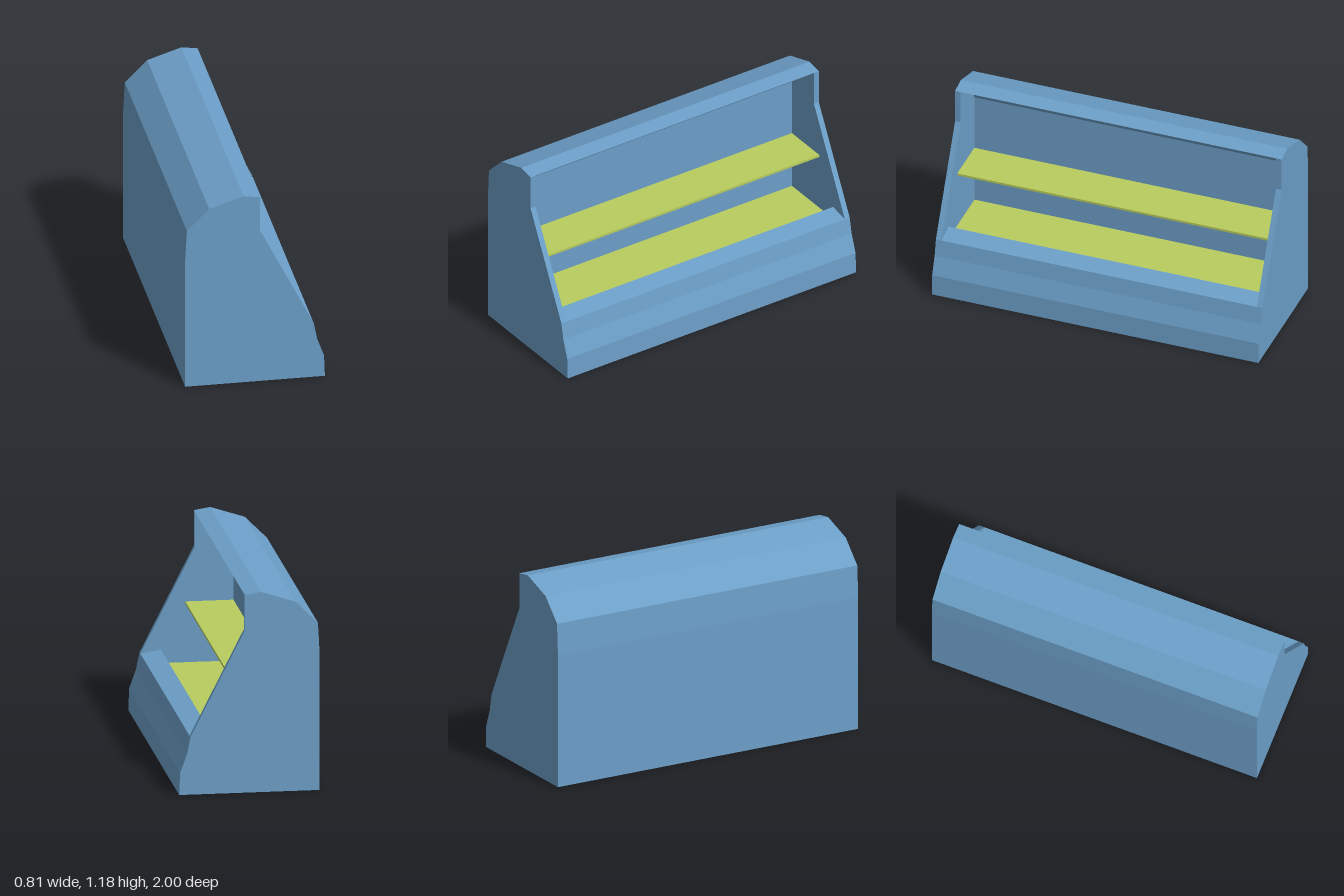
import * as THREE from 'three';

const blue = new THREE.MeshStandardMaterial({ color: 0x6c9fc8, flatShading: true });
const green = new THREE.MeshStandardMaterial({ color: 0xb9cd5e, flatShading: true });
const grey = new THREE.MeshStandardMaterial({ color: 0xcccccc, flatShading: true });

// Extrude an x-y profile along z, from z0 to z1
function prism(name, points, z0, z1, material) {
  const shape = new THREE.Shape(points.map(([x, y]) => new THREE.Vector2(x, y)));
  const geometry = new THREE.ExtrudeGeometry(shape, { depth: z1 - z0, bevelEnabled: false });
  geometry.translate(0, 0, z0);
  const mesh = new THREE.Mesh(geometry, material);
  mesh.name = name;
  return mesh;
}

// Flat board resting between the end panels
function board(name, x0, x1, top, thickness, halfLength) {
  const mesh = new THREE.Mesh(new THREE.BoxGeometry(x1 - x0, thickness, halfLength * 2), green);
  mesh.position.set((x0 + x1) / 2, top - thickness / 2, 0);
  mesh.name = name;
  return mesh;
}

export function createModel() {
  const group = new THREE.Group();
  group.name = 'displayCase';
  const inner = 0.966;

  // Outline shared by the cabinet and its end panels
  const base = [[-0.41, 0], [0.405, 0], [0.4, 0.13], [0.36, 0.24], [0.34, 0.34]];
  const hood = [[0.025, 1.17], [-0.07, 1.185], [-0.27, 1.12], [-0.4, 0.99], [-0.41, 0.8]];

  // Open cavity: front lip, floor, back wall, curved ceiling
  const cavity = [[0.22, 0.36], [0.22, 0.27], [-0.2, 0.27], [-0.2, 0.99], [-0.15, 1.1], [-0.07, 1.15]];
  group.add(prism('cabinet', [...base, ...cavity, ...hood], -inner, inner, blue));

  // Solid end panels
  const end = [...base, [0.025, 0.96], ...hood];
  group.add(prism('leftEndPanel', end, inner, 1, blue));
  group.add(prism('rightEndPanel', end, -1, -inner, blue));

  // Shelves
  group.add(board('upperShelf', -0.2, 0.08, 0.64, 0.014, inner));
  group.add(board('lowerShelf', -0.2, 0.22, 0.28, 0.014, inner));

  // Lamp under the hood
  const lamp = [[-0.11, 1.098], [-0.075, 1.098], [-0.07, 1.122], [-0.08, 1.14], [-0.11, 1.14]];
  group.add(prism('lamp', lamp, -0.81, 0.81, grey));

  return group;
}
